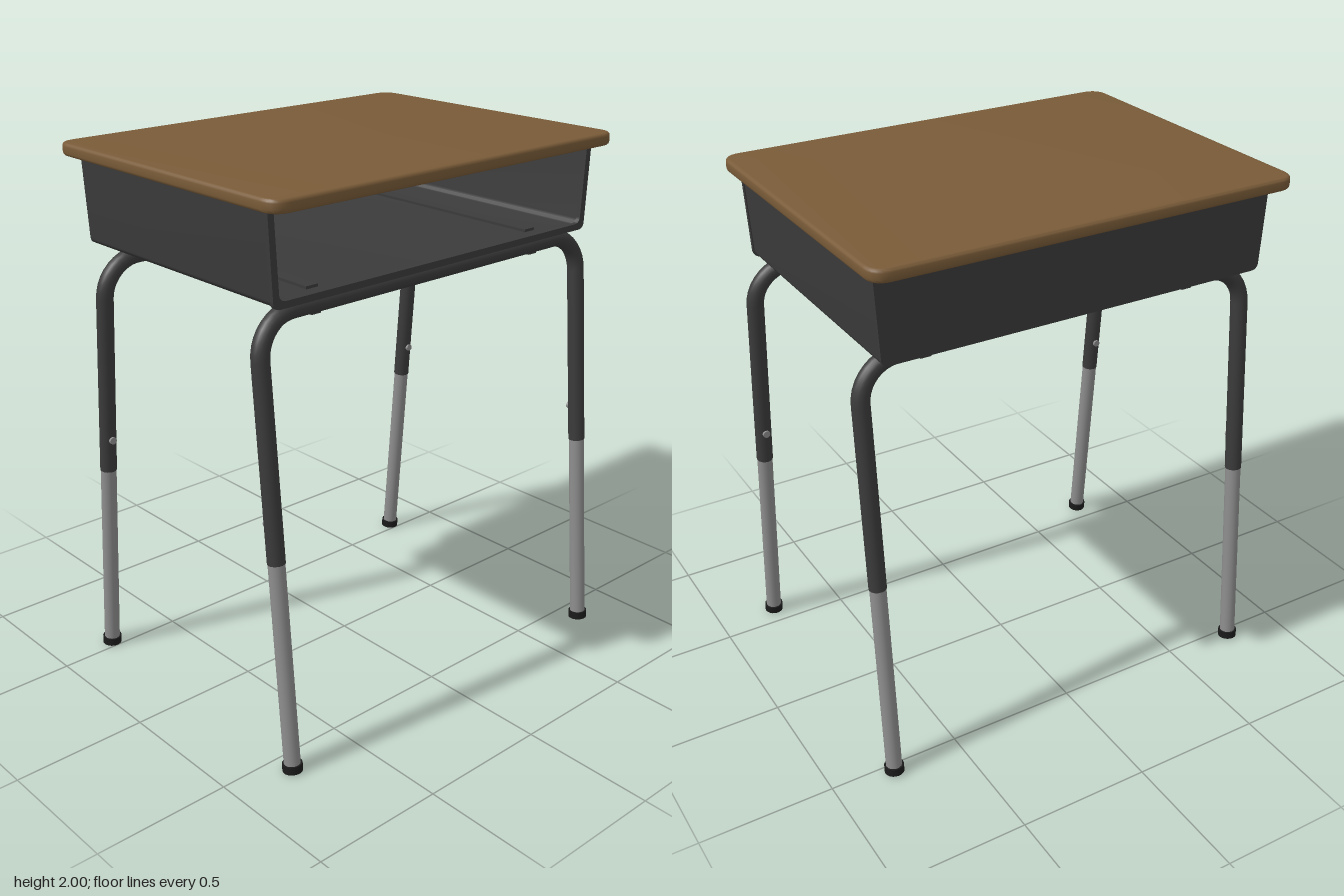
import * as THREE from 'three';
import { toCreasedNormals } from 'three/addons/utils/BufferGeometryUtils.js';

const V = (x, y, z) => new THREE.Vector3(x, y, z);

export function createModel() {
  const group = new THREE.Group();
  const material = (name, color) => {
    const m = new THREE.MeshStandardMaterial({ color });
    m.name = name;
    return m;
  };
  const wood = material('wood', 0x795b38);
  const paint = material('dark paint', 0x3b3b3b);
  const steel = material('steel', 0x8e8e8e);
  const rubber = material('black rubber', 0x1b1b1b);

  const add = (name, geometry, mat) => {
    const mesh = new THREE.Mesh(geometry, mat);
    mesh.name = name;
    group.add(mesh);
    return mesh;
  };
  const box = (name, w, h, d, x, y, z, mat) =>
    add(name, new THREE.BoxGeometry(w, h, d), mat).position.set(x, y, z);
  // Straight cylinder between two points
  const rod = (name, a, b, r, mat, sides = 20) => {
    const dir = b.clone().sub(a);
    const mesh = add(name, new THREE.CylinderGeometry(r, r, dir.length(), sides), mat);
    mesh.position.copy(a).add(b).multiplyScalar(0.5);
    mesh.quaternion.setFromUnitVectors(V(0, 1, 0), dir.normalize());
  };
  const extrude = (shape, depth, z) =>
    new THREE.ExtrudeGeometry(shape, { depth, bevelEnabled: false, curveSegments: 8 }).translate(0, 0, z);

  // Writing surface: rounded slab with a softened edge
  const bevel = 0.012, w = 0.8 - bevel, d = 0.602 - bevel, r = 0.055;
  const slab = new THREE.Shape();
  slab.moveTo(-w + r, -d);
  slab.lineTo(w - r, -d).quadraticCurveTo(w, -d, w, -d + r);
  slab.lineTo(w, d - r).quadraticCurveTo(w, d, w - r, d);
  slab.lineTo(-w + r, d).quadraticCurveTo(-w, d, -w, d - r);
  slab.lineTo(-w, -d + r).quadraticCurveTo(-w, -d, -w + r, -d);
  const top = new THREE.ExtrudeGeometry(slab, {
    depth: 0.046 - 2 * bevel, bevelSize: bevel, bevelThickness: bevel, bevelSegments: 3, curveSegments: 8,
  });
  top.rotateX(-Math.PI / 2).translate(0, 1.954 + bevel, -0.018);
  add('deskTop', toCreasedNormals(top, 0.7), wood);

  // Book box: tapered trough, closed at the back and open at the front
  const profile = (inset) => {
    const t = 0.758 - inset, b = 0.742 - inset, y = 1.638 + inset, c = 0.03;
    return [V(-t, 1.956), V(-b, y + c), V(-b, y), V(-b + c, y), V(b - c, y), V(b, y), V(b, y + c), V(t, 1.956)];
  };
  const trace = (shape, p) => {
    shape.lineTo(p[1].x, p[1].y);
    shape.quadraticCurveTo(p[2].x, p[2].y, p[3].x, p[3].y);
    shape.lineTo(p[4].x, p[4].y);
    shape.quadraticCurveTo(p[5].x, p[5].y, p[6].x, p[6].y);
    shape.lineTo(p[7].x, p[7].y);
  };
  const wall = (outer, inner) => {
    const shape = new THREE.Shape();
    const o = profile(outer), i = profile(inner).reverse();
    shape.moveTo(o[0].x, o[0].y);
    trace(shape, o);
    shape.lineTo(i[0].x, i[0].y);
    trace(shape, i);
    return shape;
  };
  const backShape = new THREE.Shape();
  const outline = profile(0);
  backShape.moveTo(outline[0].x, outline[0].y);
  trace(backShape, outline);
  add('bookBox', toCreasedNormals(extrude(wall(0, 0.01), 1.015, -0.522), 0.6), paint);
  add('bookBoxBack', extrude(backShape, 0.01, -0.53), paint);
  add('bookBoxFrontRim', toCreasedNormals(extrude(wall(-0.004, 0.02), 0.016, 0.488), 0.6), paint);

  // Each leg pair is one bent tube, splayed in z as it descends
  const yTop = 1.605, xLeg = 0.768, bend = 0.14, k = bend * 0.45;
  const legPair = (name, zTop, zFoot) => {
    const at = (x, y) => V(x, y, zTop + (zFoot - zTop) * (yTop - y) / yTop);
    const path = new THREE.CurvePath();
    path.add(new THREE.LineCurve3(at(-xLeg, 0.78), at(-xLeg, yTop - bend)));
    path.add(new THREE.CubicBezierCurve3(at(-xLeg, yTop - bend), at(-xLeg, yTop - k),
      at(-xLeg + k, yTop), at(-xLeg + bend, yTop)));
    path.add(new THREE.LineCurve3(at(-xLeg + bend, yTop), at(xLeg - bend, yTop)));
    path.add(new THREE.CubicBezierCurve3(at(xLeg - bend, yTop), at(xLeg - k, yTop),
      at(xLeg, yTop - k), at(xLeg, yTop - bend)));
    path.add(new THREE.LineCurve3(at(xLeg, yTop - bend), at(xLeg, 0.78)));
    add(name + 'UpperFrame', new THREE.TubeGeometry(path, 130, 0.0315, 16), paint);

    for (const s of [-1, 1]) {
      const x = s * xLeg;
      rod(name + 'LegExtension', at(x, 0.02), at(x, 0.84), 0.0295, steel);
      rod(name + 'FootCap', at(x, 0.003), at(x, 0.032), 0.036, rubber);
      // Height adjustment screw on the inward side
      const p = at(x, 0.91), inward = -Math.sign(zTop);
      rod(name + 'LegScrew', p, V(p.x, p.y, p.z + inward * 0.039), 0.014, steel, 12);
    }
  };
  legPair('front', 0.45, 0.588);
  legPair('back', -0.408, -0.535);

  // Side rails joining the tubes, with floor ribs above and bolts below
  for (const s of [-1, 1]) {
    const x = s * 0.525;
    box('sideRail', 0.04, 0.072, 0.86, x, 1.602, 0.02, paint);
    box('floorRib', 0.05, 0.012, 0.86, x, 1.652, 0.0, paint);
    for (const z of [-0.3, 0.02, 0.34])
      rod('railBolt', V(x, 1.561, z), V(x, 1.57, z), 0.009, steel, 10);
  }
  return group;
}
